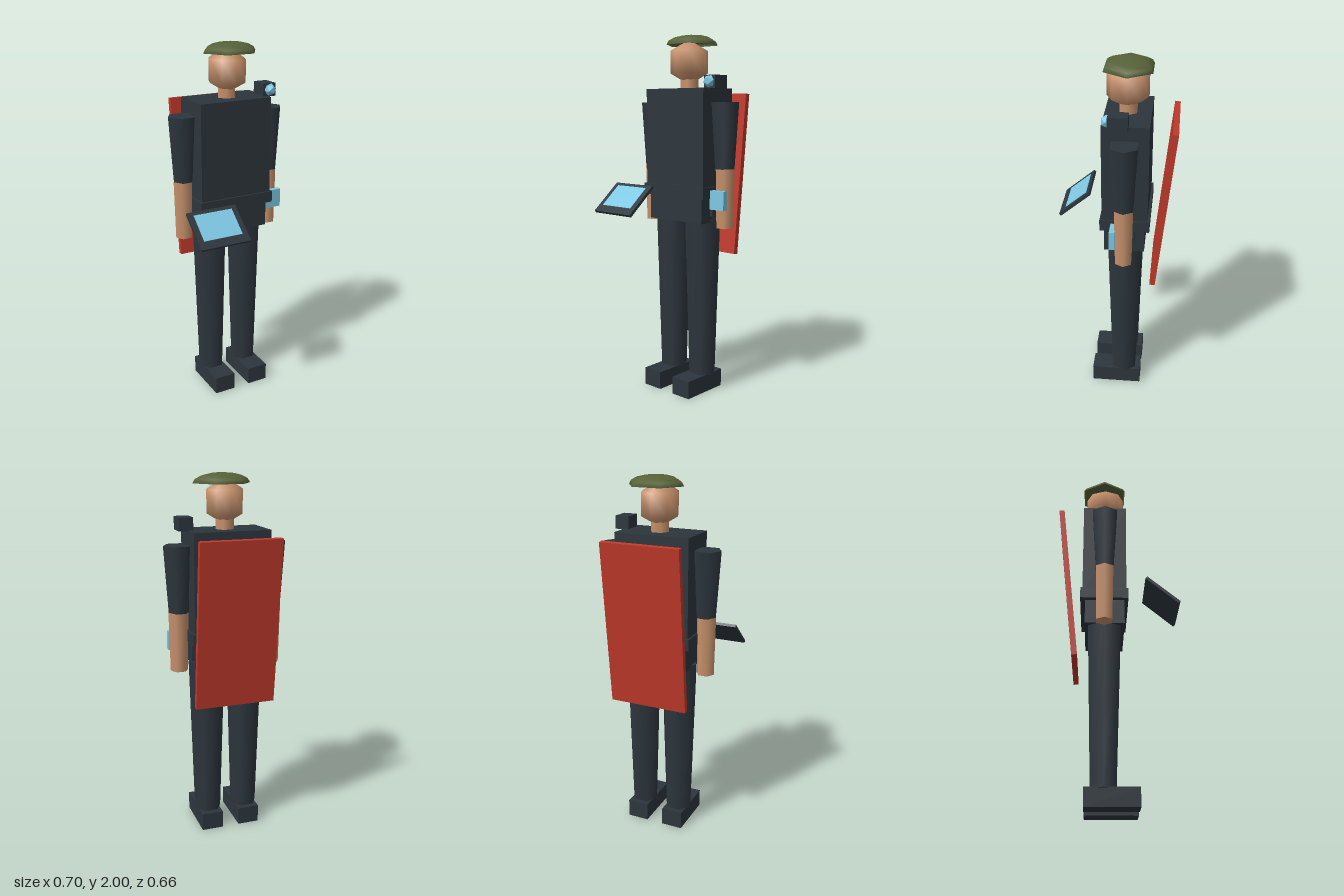
import * as THREE from 'three';

const mat = (name, color) => Object.assign(new THREE.MeshStandardMaterial({ color }), { name });

export function createModel() {
  const model = new THREE.Group();
  model.name = 'guard';

  const cloth = mat('dark cloth', 0x2d363d);
  const skin = mat('skin', 0xc8926c);
  const olive = mat('olive cap', 0x566238);
  olive.side = THREE.DoubleSide;
  const red = mat('red panel', 0xc0392b);
  const cyan = mat('pale blue glass', 0x7ec8e3);

  const add = (name, geometry, material, x, y, z, parent = model) => {
    const mesh = new THREE.Mesh(geometry, material);
    mesh.name = name;
    mesh.position.set(x, y, z);
    parent.add(mesh);
    return mesh;
  };
  const box = (name, material, [w, h, d], [x, y, z], parent) =>
    add(name, new THREE.BoxGeometry(w, h, d), material, x, y, z, parent);
  // six-sided limb between two heights, corners pointing sideways
  const limb = (name, material, rTop, rBottom, yTop, yBottom, x, z) =>
    add(name, new THREE.CylinderGeometry(rTop, rBottom, yTop - yBottom, 6, 1, false, Math.PI / 2),
      material, x, (yTop + yBottom) / 2, z);

  const cx = 0.005, cz = -0.067;

  // trunk
  box('torso', cloth, [0.421, 0.57, 0.242], [cx, 1.425, cz]);
  box('belt', cloth, [0.443, 0.062, 0.264], [cx, 1.15, cz]);
  box('pelvis', cloth, [0.385, 0.16, 0.217], [cx, 1.06, cz + 0.003]);
  box('hipPouch', cloth, [0.04, 0.105, 0.092], [0.195, 1.068, -0.076]);

  // arms, legs and feet
  for (const [side, s] of [['left', 1], ['right', -1]]) {
    const armX = cx + s * 0.263, legX = cx + s * 0.109;
    limb(side + 'Sleeve', cloth, 0.079, 0.056, 1.635, 1.278, armX, cz);
    limb(side + 'Forearm', skin, 0.055, 0.049, 1.279, 0.956, armX + s * 0.003, cz);
    limb(side + 'Leg', cloth, 0.104, 0.077, 1.0, 0.095, legX, -0.065);
    box(side + 'Foot', cloth, [0.121, 0.1, 0.284], [legX, 0.05, -0.021]);
  }

  // head, neck and cap
  limb('neck', skin, 0.052, 0.052, 1.8, 1.7, 0.01, cz);
  add('head', new THREE.SphereGeometry(0.122, 8, 3), skin, 0.01, 1.854, -0.064).scale.set(0.95, 1, 1.03);
  const cap = add('cap', new THREE.SphereGeometry(1, 6, 4, 0, Math.PI * 2, 0, Math.PI / 2),
    olive, 0.029, 1.946, -0.069);
  cap.scale.set(0.157, 0.054, 0.142);

  // shoulder camera
  box('shoulderCamera', cloth, [0.077, 0.07, 0.101], [0.226, 1.742, -0.033]);
  add('cameraLens', new THREE.IcosahedronGeometry(0.034, 0), cyan, 0.228, 1.744, 0.02).rotation.set(0, 0.3, 0.2);

  // wrist display
  box('wristDisplay', cyan, [0.095, 0.104, 0.031], [0.271, 1.112, -0.0095]);

  // back panel, leaning away at the top
  box('backPanel', red, [0.443, 0.907, 0.03], [cx, 1.232, -0.269]).rotation.x = -0.102;

  // floating tablet
  const tablet = new THREE.Group();
  tablet.name = 'tablet';
  tablet.position.set(-0.205, 1.101, 0.24);
  tablet.rotation.x = 0.7;
  model.add(tablet);
  box('tabletFrame', cloth, [0.286, 0.016, 0.225], [0, 0, 0], tablet);
  box('tabletScreen', cyan, [0.223, 0.006, 0.157], [0, 0.008, -0.012], tablet);

  return model;
}
